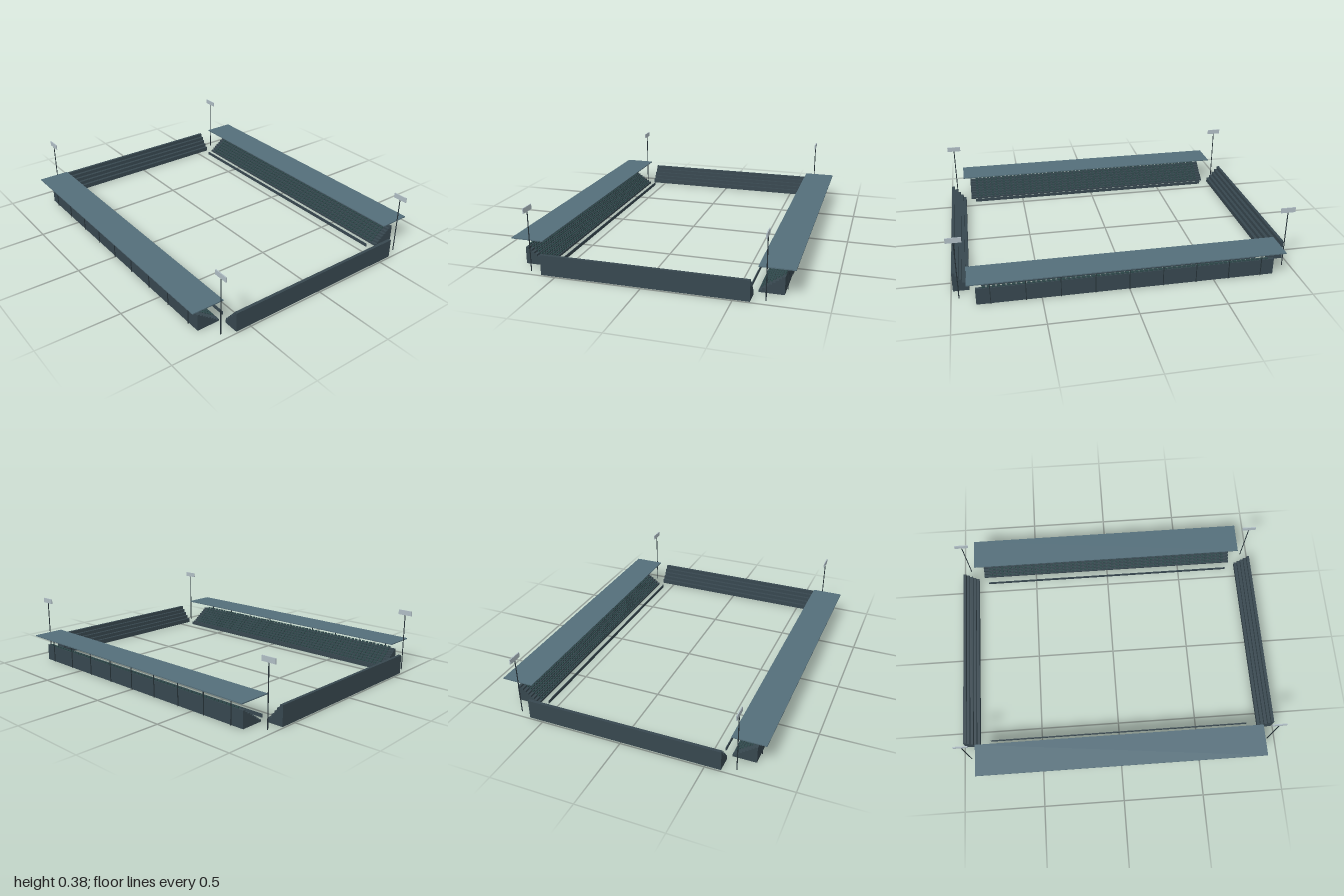
import * as THREE from 'three';
import { mergeGeometries } from 'three/addons/utils/BufferGeometryUtils.js';

const mat = (color) => new THREE.MeshStandardMaterial({ color, flatShading: true });
const concrete = mat(0x37474f);
const seatMat = mat(0x2f4a4c);
const roofMat = mat(0x546e7a);
const steel = mat(0x263238);
const lampMat = mat(0xb0bec5);

function add(parent, name, geometry, material, x = 0, y = 0, z = 0) {
  const mesh = new THREE.Mesh(geometry, material);
  mesh.name = name;
  mesh.position.set(x, y, z);
  parent.add(mesh);
  return mesh;
}

// Stepped terrace rising towards +x, running along z
function terrace(inner, outer, steps, firstTop, lastTop, length) {
  const shape = new THREE.Shape();
  const run = (outer - inner) / steps;
  const rise = (lastTop - firstTop) / (steps - 1);
  shape.moveTo(inner, 0);
  shape.lineTo(outer, 0);
  for (let i = steps - 1; i >= 0; i--) {
    const y = firstTop + i * rise;
    shape.lineTo(inner + (i + 1) * run, y);
    shape.lineTo(inner + i * run, y);
  }
  const geometry = new THREE.ExtrudeGeometry(shape, { depth: length, bevelEnabled: false });
  return geometry.translate(0, 0, -length / 2);
}

// Rows of seats on the steps of a main stand
function seatRows(inner, outer, steps, firstTop, lastTop) {
  const seats = [];
  const run = (outer - inner) / steps;
  const rise = (lastTop - firstTop) / (steps - 1);
  const count = 60, spacing = 0.0277;
  for (let i = 0; i < steps; i++) {
    for (let j = 0; j < count; j++) {
      const seat = new THREE.BoxGeometry(0.009, 0.01, 0.017);
      seat.translate(inner + (i + 0.6) * run, firstTop + i * rise + 0.005, (j - (count - 1) / 2) * spacing);
      seats.push(seat);
    }
  }
  return mergeGeometries(seats);
}

// Covered stand, facing local -x
function mainStand() {
  const stand = new THREE.Group();
  const profile = [0.61, 0.748, 8, 0.013, 0.1];
  add(stand, 'terrace', terrace(...profile, 1.726), concrete);
  add(stand, 'seats', seatRows(...profile), seatMat);
  add(stand, 'roof', new THREE.BoxGeometry(0.195, 0.006, 1.815), roofMat, 0.711, 0.165, 0);
  // Roof posts along the back wall
  for (let i = -4; i <= 4; i++) {
    add(stand, 'roofPost', new THREE.BoxGeometry(0.004, 0.163, 0.004), steel, 0.753, 0.0815, i * 0.196);
  }
  add(stand, 'pitchsideBoard', new THREE.BoxGeometry(0.005, 0.02, 1.665), concrete, 0.562, 0.01, 0);
  return stand;
}

// Lamp panel on a thin mast
function floodlight() {
  const light = new THREE.Group();
  light.name = 'floodlight';
  add(light, 'mast', new THREE.CylinderGeometry(0.003, 0.003, 0.355, 8), steel, 0, 0.1775, 0);
  add(light, 'lampPanel', new THREE.BoxGeometry(0.088, 0.03, 0.006), lampMat, 0, 0.369, 0);
  return light;
}

export function createModel() {
  const model = new THREE.Group();
  model.name = 'stadium';

  for (const side of [1, -1]) {
    // Long stands at front and back
    const main = mainStand();
    main.name = side > 0 ? 'frontStand' : 'backStand';
    main.rotation.y = -side * Math.PI / 2;
    model.add(main);

    // Open stands at the ends
    const end = add(model, side > 0 ? 'leftEndStand' : 'rightEndStand',
      terrace(0.898, 0.99, 5, 0.03, 0.118, 1.18), concrete);
    end.rotation.y = side > 0 ? 0 : Math.PI;

    // Corner floodlights
    for (const z of [0.667, -0.667]) {
      const light = floodlight();
      light.position.set(side * 0.956, 0, z);
      model.add(light);
    }
  }
  return model;
}
